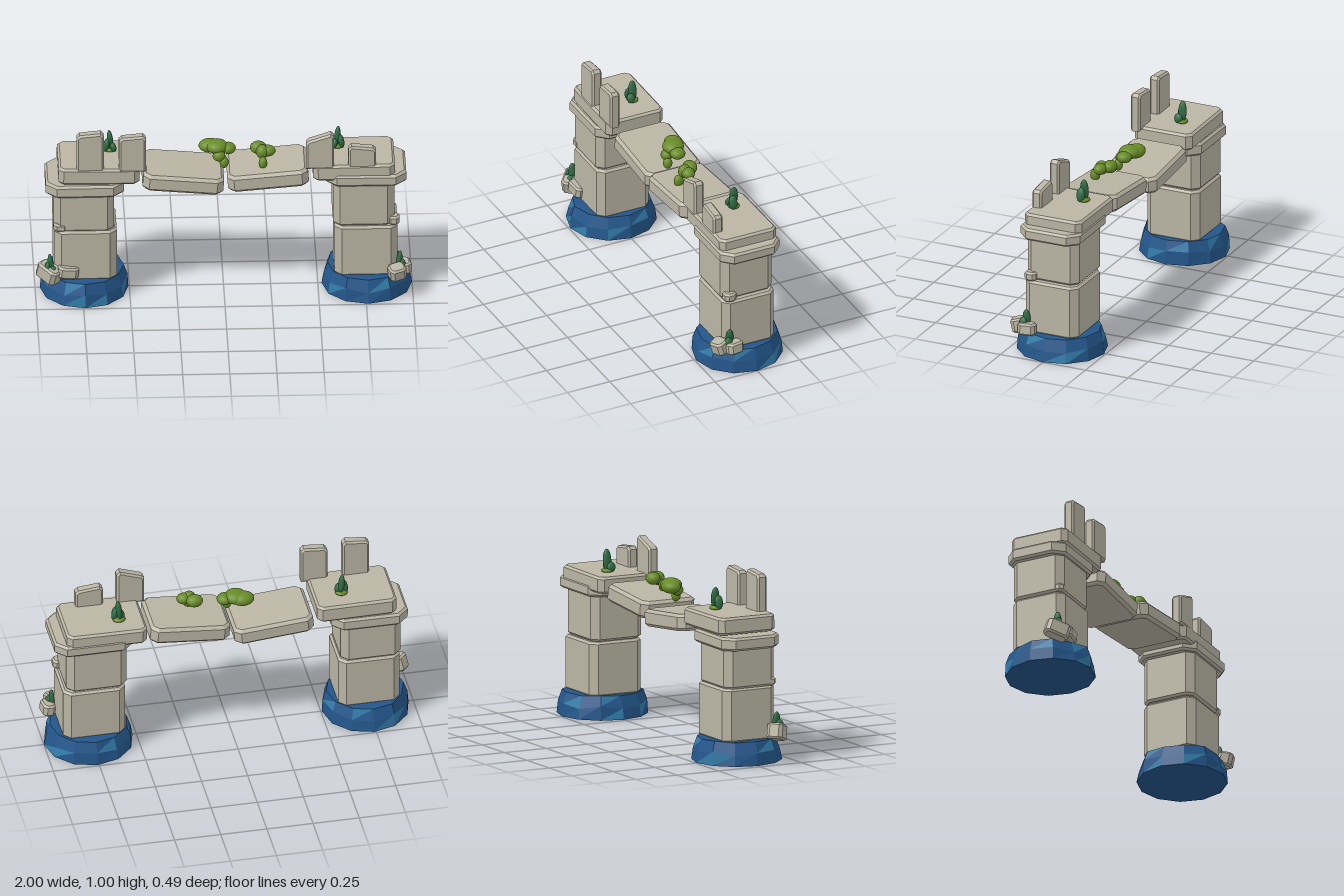
import * as THREE from 'three';

const mat = (name, color) => {
  const m = new THREE.MeshStandardMaterial({ color });
  m.name = name;
  return m;
};

export function createModel() {
  const stone = mat('stone', 0xbab5a4);
  const blue = mat('deepBlueRock', 0x23568a);
  const lightBlue = mat('lightBlueRock', 0x317ba8);
  const moss = mat('moss', 0x688c26);
  const leafGreen = mat('leafGreen', 0x2f6c44);

  const root = new THREE.Group();
  root.name = 'ruinedBridge';

  const add = (parent, name, geometry, material, pos, rot = [0, 0, 0]) => {
    const mesh = new THREE.Mesh(geometry, material);
    mesh.name = name;
    mesh.position.set(...pos);
    mesh.rotation.set(...rot);
    parent.add(mesh);
    return mesh;
  };
  const group = (name, parent = root) => {
    const g = new THREE.Group();
    g.name = name;
    parent.add(g);
    return g;
  };

  // Stone block with cut vertical corners (cut) and bevelled rims (bevel)
  const block = (w, h, d, cut = 0.025, bevel = 0.012) => {
    const a = w / 2 - bevel, b = d / 2 - bevel;
    const s = new THREE.Shape([
      [-a + cut, -b], [a - cut, -b], [a, -b + cut], [a, b - cut],
      [a - cut, b], [-a + cut, b], [-a, b - cut], [-a, -b + cut],
    ].map(p => new THREE.Vector2(...p)));
    const g = new THREE.ExtrudeGeometry(s, {
      depth: h - 2 * bevel, bevelEnabled: true, bevelThickness: bevel, bevelSize: bevel, bevelSegments: 1,
    });
    g.translate(0, 0, -h / 2 + bevel);
    return g.rotateX(-Math.PI / 2);
  };

  // Faceted rock foot, some facets lighter
  const rockFoot = (rx, seed) => {
    const N = 12;
    let g = new THREE.CylinderGeometry(0.2, 0.24, 0.13, N, 2);
    const p = g.attributes.position;
    for (let i = 0; i < p.count; i++) {
      const x = p.getX(i), y = p.getY(i), z = p.getZ(i), r = Math.hypot(x, z);
      if (r < 0.01) continue;
      const k = Math.round(Math.atan2(z, x) / (Math.PI * 2) * N + N) % N;
      const n = Math.sin(k * 2.4 + seed);
      const level = y > 0.03 ? 2 : y > -0.03 ? 1 : 0;
      const R = [0.243, 0.235 + 0.004 * n, 0.213 + 0.006 * n][level];
      p.setXYZ(i, x / r * R * rx / 0.243, y + [0, 0.012 * n, -0.004 + 0.004 * n][level], z / r * R);
    }
    g = g.toNonIndexed();
    g.computeVertexNormals();
    g.clearGroups();
    const sideTriangles = N * 4, total = g.attributes.position.count / 3;
    for (let t = 0; t < sideTriangles; t++) g.addGroup(t * 3, 3, (t * 5 + seed * 3) % 17 < 3 ? 1 : 0);
    g.addGroup(sideTriangles * 3, (total - sideTriangles) * 3, 0);
    return g;
  };

  // Upright battlement with a broken, slanted top
  const battlement = (parent, x0, x1, topLeft, topRight, z) => {
    const b = 0.01, y0 = 0.78;
    const s = new THREE.Shape([
      [x0 + b, y0], [x1 - b, y0], [x1 - b, topRight - b * 2], [x1 - b * 2, topRight - b],
      [x0 + b * 2, topLeft - b], [x0 + b, topLeft - b * 2],
    ].map(q => new THREE.Vector2(...q)));
    const g = new THREE.ExtrudeGeometry(s, {
      depth: 0.036, bevelEnabled: true, bevelThickness: b, bevelSize: b, bevelSegments: 1,
    });
    add(parent, 'battlement', g, stone, [0, 0, z - 0.018]);
  };

  // Clump of smooth ellipsoids: [x, y, z, rx, ry, rz]
  const blobs = (parent, name, list) => list.forEach(([x, y, z, rx, ry, rz]) =>
    add(parent, name, new THREE.SphereGeometry(1, 16, 12), moss, [x, y, z]).scale.set(rx, ry, rz));

  // Upright leaves sprouting from a mossy base
  const plant = (name, x, y, z, lean, size) => {
    const g = group(name);
    blobs(g, 'plantMoss', [[x, y + 0.008, z, 0.034 * size, 0.013, 0.03 * size]]);
    [[0, 1, 0, 0.1], [0.02, 0.65, 0.012, -0.2], [-0.016, 0.45, 0.016, 0.3]].forEach(([dx, h, dz, tilt]) => {
      const L = 0.06 * h * size;
      add(g, 'leaf', new THREE.SphereGeometry(1, 12, 10), leafGreen,
        [x - lean * dx, y + L, z + dz], [0, 0, lean * tilt]).scale.set(0.016 * size, L, 0.024 * size);
    });
  };

  // Towers: [name, foot x, foot radius x, seed, blocks as x0, x1, y0, y1, z0, z1, corner cut, tilt]
  const towers = [
    ['rightTower', -0.74, 0.235, 1, [
      ['lowerPillar', -0.902, -0.57, 0.12, 0.412, -0.155, 0.155, 0.03, 0],
      ['upperPillar', -0.907, -0.584, 0.41, 0.64, -0.15, 0.152, 0.03, 0],
      ['lowerCap', -0.947, -0.532, 0.622, 0.693, -0.172, 0.172, 0.05, 0.005],
      ['upperCap', -0.88, -0.45, 0.697, 0.79, -0.172, 0.165, 0.02, -0.01],
    ]],
    ['leftTower', 0.76, 0.24, 4, [
      ['lowerPillar', 0.585, 0.92, 0.12, 0.416, -0.155, 0.155, 0.03, 0],
      ['upperPillar', 0.577, 0.902, 0.42, 0.68, -0.15, 0.153, 0.03, 0],
      ['lowerCap', 0.54, 0.966, 0.666, 0.732, -0.175, 0.175, 0.05, 0],
      ['upperCap', 0.47, 0.905, 0.7, 0.79, -0.17, 0.165, 0.02, 0.01],
    ]],
  ];
  for (const [name, x, rx, seed, parts] of towers) {
    const g = group(name);
    add(g, 'rockFoot', rockFoot(rx, seed), [blue, lightBlue], [x, 0.065, 0]);
    for (const [part, x0, x1, y0, y1, z0, z1, cut, tilt] of parts)
      add(g, part, block(x1 - x0, y1 - y0, z1 - z0, cut), stone,
        [(x0 + x1) / 2, (y0 + y1) / 2, (z0 + z1) / 2], [0, 0, tilt]);
  }

  // Battlements along the front edge
  const walls = group('battlements');
  battlement(walls, -0.785, -0.64, 0.99, 1.0, 0.132);
  battlement(walls, -0.56, -0.417, 0.973, 0.982, 0.136);
  battlement(walls, 0.433, 0.582, 0.938, 0.975, 0.134);
  battlement(walls, 0.657, 0.805, 0.9, 0.888, 0.132);

  // Two sagging bridge slabs
  const bridge = group('bridge');
  add(bridge, 'rightSlab', block(0.43, 0.092, 0.325, 0.025, 0.016), stone, [-0.217, 0.675, -0.012], [0, 0, -0.09]);
  add(bridge, 'leftSlab', block(0.43, 0.094, 0.325, 0.025, 0.016), stone, [0.232, 0.701, 0.008], [0, 0, 0.085]);

  // Loose stones: [size], [position], [rotation]
  const rubble = group('looseStones');
  [
    [[0.13, 0.085, 0.085], [-0.93, 0.165, 0.14], [0, -0.75, -0.3]],
    [[0.11, 0.065, 0.07], [-0.83, 0.175, 0.155], [0, 0.1, -0.12]],
    [[0.075, 0.045, 0.07], [-0.868, 0.433, 0.12], [0, 0, 0]],
    [[0.09, 0.075, 0.08], [0.915, 0.157, 0.18], [0.25, 0.35, 0.05]],
    [[0.07, 0.065, 0.095], [0.955, 0.157, 0.115], [0, 0.15, 0.1]],
    [[0.065, 0.05, 0.068], [0.898, 0.442, 0.115], [0, 0, 0]],
  ].forEach(([s, p, r]) => add(rubble, 'looseStone', block(...s, 0.012, 0.01), stone, p, r));

  // Moss bushes on the bridge
  blobs(group('largeBush'), 'bushLobe', [
    [-0.07, 0.82, -0.035, 0.062, 0.036, 0.05], [-0.035, 0.825, -0.015, 0.06, 0.036, 0.058],
    [0.025, 0.815, -0.012, 0.041, 0.03, 0.042], [-0.025, 0.79, 0.028, 0.034, 0.03, 0.032],
    [0.002, 0.755, 0.035, 0.024, 0.032, 0.025],
  ]);
  blobs(group('smallBush'), 'bushLobe', [
    [0.185, 0.82, -0.005, 0.045, 0.034, 0.038], [0.235, 0.818, 0.03, 0.04, 0.03, 0.035],
    [0.205, 0.815, 0.035, 0.035, 0.038, 0.036], [0.207, 0.768, 0.072, 0.023, 0.034, 0.027],
  ]);

  // Leafy plants
  plant('rightCapPlant', -0.6, 0.79, -0.055, 1, 1);
  plant('leftCapPlant', 0.605, 0.79, -0.055, -1, 1.03);
  plant('rightFootPlant', -0.922, 0.16, 0.14, 1, 0.95);
  plant('leftFootPlant', 0.928, 0.14, 0.13, -1, 0.97);

  return root;
}
